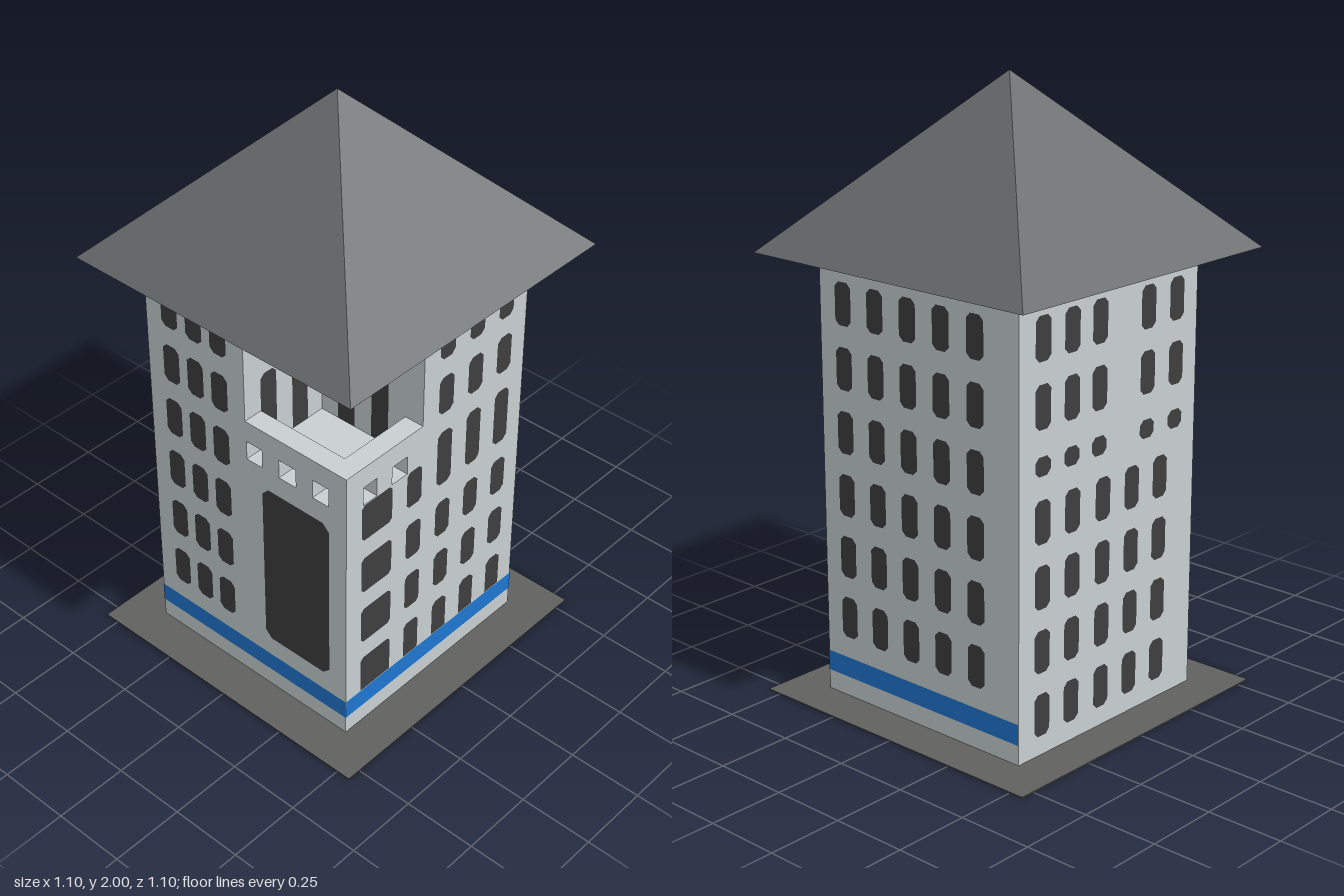
import * as THREE from 'three';

const H = 0.41;       // half width of the tower
const EAVE = 1.45;    // underside of the roof
const FLOOR = 0.895;  // terrace floor
const EPS = 0.002;    // lift of painted plates

const mat = (name, color, extra = {}) =>
  Object.assign(new THREE.MeshStandardMaterial({ color, ...extra }), { name });

// Rectangle centred at u, from y0 to y1, with clipped corners
function pane(u, y0, y1, w = 0.068, c = 0.016, flatBottom = false) {
  const a = u - w / 2, b = u + w / 2, d = flatBottom ? 0 : c;
  const pts = [[a + d, y0], [b - d, y0], [b, y0 + d], [b, y1 - c],
    [b - c, y1], [a + c, y1], [a, y1 - c], [a, y0 + d]];
  return new THREE.Shape(pts.map(p => new THREE.Vector2(...p)));
}

function rect(x0, y0, x1, y1, Type = THREE.Shape) {
  return new Type([[x0, y0], [x1, y0], [x1, y1], [x0, y1]].map(p => new THREE.Vector2(...p)));
}

export function createModel() {
  const model = new THREE.Group();
  model.name = 'tower';
  const wall = mat('pale grey wall', 0xc9d0d2);
  const glass = mat('dark window', 0x3e3e3e);
  const blue = mat('blue stripe', 0x1f77d0);
  const roofMat = mat('grey roof', 0x686c6c, { flatShading: true });
  const soffitMat = mat('slate soffit', 0x596272);
  const plateMat = mat('ground grey', 0x616160);

  const add = (name, geo, material) => {
    const m = new THREE.Mesh(geo, material);
    m.name = name;
    model.add(m);
    return m;
  };

  // Painted shapes on a wall turned by angle, at a distance from the axis
  const paint = (name, shapes, angle, dist, material) => {
    const m = add(name, new THREE.ShapeGeometry(shapes), material);
    m.rotation.y = angle;
    m.position.set(Math.sin(angle), 0, Math.cos(angle)).multiplyScalar(dist + EPS);
  };

  // Ground plate
  add('groundPlate', new THREE.BoxGeometry(1.1, 0.004, 1.1).translate(0, 0.002, 0), plateMat);

  // Lower storeys
  add('lowerBody', new THREE.BoxGeometry(2 * H, FLOOR - 0.002, 2 * H)
    .translate(0, (FLOOR + 0.002) / 2, 0), wall);

  // Upper storeys with the corner cut away for the terrace
  const plan = new THREE.Shape([[-0.07, -H], [H, -H], [H, H], [-H, H], [-H, 0], [-0.07, 0]]
    .map(p => new THREE.Vector2(...p)));
  add('upperBody', new THREE.ExtrudeGeometry(plan, { depth: EAVE - FLOOR, bevelEnabled: false })
    .rotateX(-Math.PI / 2).translate(0, FLOOR, 0), wall);

  // Terrace parapets with square openings
  const parapet = (x0, x1, holes) => {
    const s = rect(x0, FLOOR, x1, 1.04);
    holes.forEach(([a, b]) => s.holes.push(rect(a, FLOOR + 0.003, b, 0.965, THREE.Path)));
    return new THREE.ExtrudeGeometry(s, { depth: 0.07, bevelEnabled: false });
  };
  add('frontParapet', parapet(-0.34, -0.07, [[-0.336, -0.275], [-0.207, -0.138]])
    .translate(0, 0, 0.34), wall);
  add('sideParapet', parapet(0, H, [[0.004, 0.068], [0.138, 0.207], [0.275, 0.339]])
    .rotateY(-Math.PI / 2).translate(-0.34, 0, 0), wall);

  // Front windows
  const front = [];
  [0.14, 0.345, 0.552, 0.76].forEach((y, i) => {
    front.push(pane(-0.275, y, y + 0.137, 0.137, 0.012, i === 0));
    front.push(pane(-0.105, y, y + 0.137, 0.068, 0.012, i === 0));
    for (const x of [0.034, 0.171, 0.308])
      front.push(pane(x, y, y + (i === 3 ? 0.206 : 0.137), 0.068, 0.016, i === 0));
  });
  for (const x of [0.034, 0.171, 0.308])
    for (const y of [1.037, 1.242]) front.push(pane(x, y, y + 0.137));
  paint('frontWindows', front, 0, H, glass);

  // Six even rows on the side walls
  const rows = [0, 1, 2, 3, 4, 5].map(i => 0.208 + i * 0.2055);
  const grid = cols => cols.flatMap(u => rows.map(y => pane(u, y, y + 0.137)));
  paint('leftWindows', grid([-0.308, -0.171, -0.034, 0.103, 0.24]), Math.PI / 2, H, glass);
  paint('rightWindows', grid([-0.308, -0.205, -0.103]), -Math.PI / 2, H, glass);
  paint('rightLargeWindow', [pane(0.205, 0.21, 0.825, 0.274, 0.025)], -Math.PI / 2, H, glass);

  // Back windows: four low rows, small vents, two high rows
  const back = [];
  for (const x of [0.308, 0.174, 0.034, -0.103, -0.24])
    for (const y of [0.068, 0.274, 0.479, 0.684]) back.push(pane(-x, y, y + 0.137));
  for (const x of [0.308, 0.18, 0.055, -0.171, -0.308]) {
    back.push(pane(-x, 0.895, 0.955));
    for (const y of [1.037, 1.242]) back.push(pane(-x, y, y + 0.137));
  }
  paint('backWindows', back, Math.PI, H, glass);

  // Terrace doors with windows above
  const doors = us => us.flatMap(u =>
    [pane(u, FLOOR + 0.002, 1.174, 0.068, 0.016, true), pane(u, 1.242, 1.379)]);
  paint('terraceBackDoors', doors([-0.308, -0.171]), 0, 0, glass);
  paint('terraceSideDoors', doors([0.103, 0.24]), -Math.PI / 2, 0.07, glass);

  // Blue band on three walls
  for (const [name, angle] of [['front', 0], ['left', Math.PI / 2], ['right', -Math.PI / 2]])
    paint(name + 'Stripe', [rect(-H, 0.07, H, 0.138)], angle, H, blue);

  // Pyramid roof and its underside
  add('roof', new THREE.ConeGeometry(0.55 * Math.SQRT2, 2 - EAVE, 4, 1, true)
    .rotateY(Math.PI / 4).translate(0, (2 + EAVE) / 2, 0), roofMat);
  add('roofUnderside', new THREE.PlaneGeometry(1.1, 1.1)
    .rotateX(Math.PI / 2).translate(0, EAVE, 0), soffitMat);

  return model;
}
